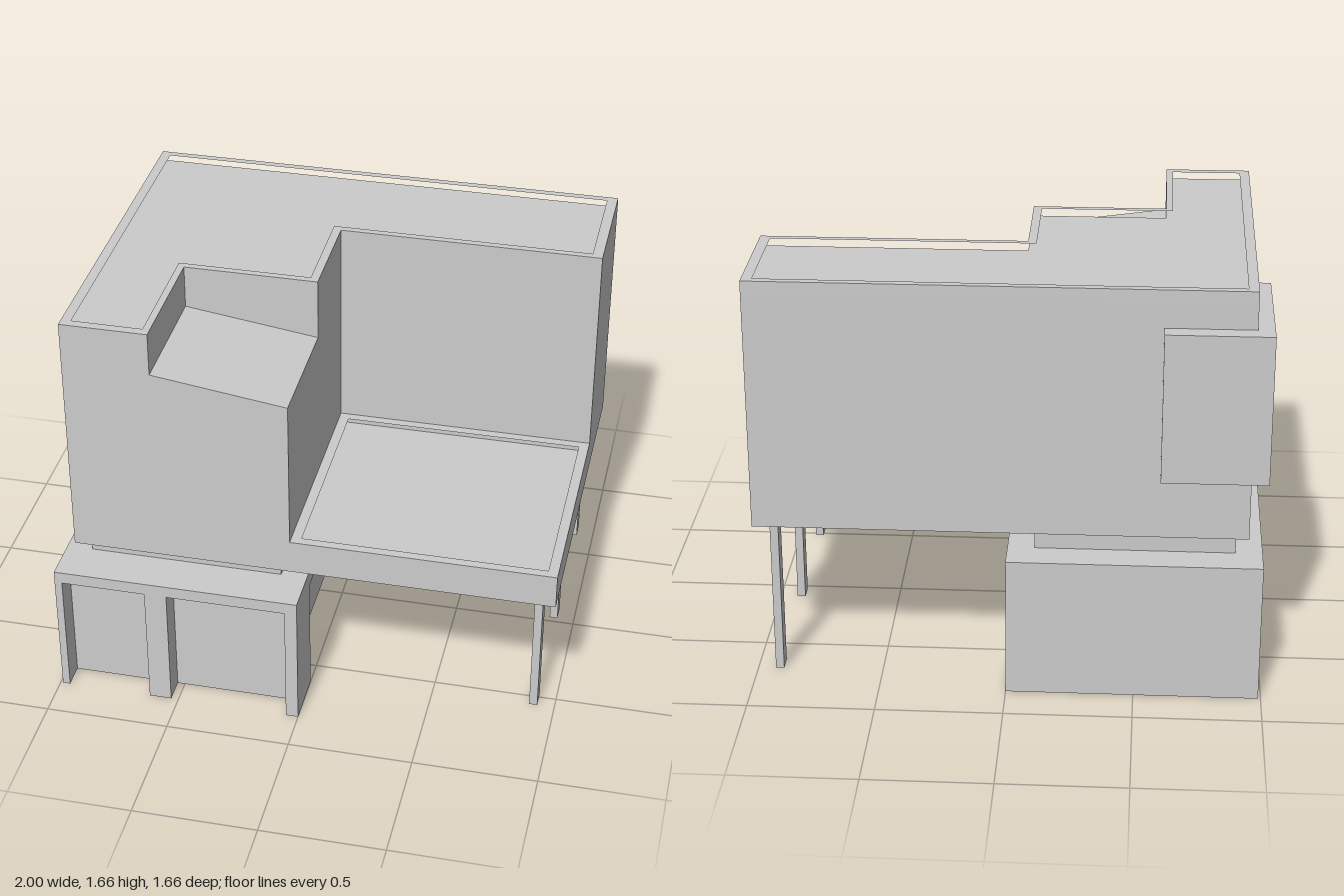
import * as THREE from 'three';

const solid = new THREE.MeshStandardMaterial({ color: 0xcccccc, flatShading: true });
const thin = new THREE.MeshStandardMaterial({ color: 0xcccccc, flatShading: true, side: THREE.DoubleSide });

// Closed outline from [x, y] pairs
const outline = (pts) => new THREE.Shape(pts.map(([x, y]) => new THREE.Vector2(x, y)));
const rect = (x0, x1, z0, z1) => [[x0, z0], [x1, z0], [x1, z1], [x0, z1]];

// Plan in [x, z] pairs, with an optional hole, as a flat shape
function planShape(pts, hole) {
  const flip = (list) => list.map(([x, z]) => [x, -z]);
  const shape = outline(flip(pts));
  if (hole) shape.holes.push(outline(flip(hole)));
  return shape;
}

// Plan raised from y0 to y1
function prism(pts, y0, y1, hole) {
  return new THREE.ExtrudeGeometry(planShape(pts, hole), { depth: y1 - y0, bevelEnabled: false })
    .rotateX(-Math.PI / 2).translate(0, y0, 0);
}

// Box between two corners; skip lists faces left out (0 +x, 1 -x, 2 +y, 3 -y, 4 +z, 5 -z)
function box(x0, x1, y0, y1, z0, z1, skip = []) {
  const geo = new THREE.BoxGeometry(x1 - x0, y1 - y0, z1 - z0);
  const index = Array.from(geo.index.array).filter((_, i) => !skip.includes(Math.floor(i / 6)));
  geo.setIndex(index);
  geo.clearGroups();
  return geo.translate((x0 + x1) / 2, (y0 + y1) / 2, (z0 + z1) / 2);
}

function add(parent, name, geometry, material = solid) {
  const mesh = new THREE.Mesh(geometry, material);
  mesh.name = name;
  parent.add(mesh);
  return mesh;
}

// Wall facing +z at z = 0 with door recesses [x0, x1] rising from the ground
function recessedWall(name, x0, x1, height, doors, doorHeight) {
  const wall = new THREE.Group();
  wall.name = name;
  const pts = [[x0, 0]];
  for (const [a, b] of doors) pts.push([a, 0], [a, doorHeight], [b, doorHeight], [b, 0]);
  pts.push([x1, 0], [x1, height], [x0, height]);
  add(wall, name + 'Face', new THREE.ShapeGeometry(outline(pts)), thin);
  for (const [a, b] of doors) {
    add(wall, name + 'Recess', box(a, b, 0, doorHeight, -0.1, 0, [3, 4]), thin);
  }
  return wall;
}

export function createModel() {
  const model = new THREE.Group();
  model.name = 'house';

  // Ground floor: thin shell, open underneath
  const ground = new THREE.Group();
  ground.name = 'groundFloor';
  model.add(ground);
  const neck = rect(-0.885, -0.105, -0.7, 0.65);
  add(ground, 'groundOuterWalls', box(-0.99, 0, 0, 0.57, -0.83, 0.83, [0, 2, 3, 4]), thin);
  add(ground, 'groundRoof', new THREE.ShapeGeometry(planShape(rect(-0.99, 0, -0.83, 0.83), neck))
    .rotateX(-Math.PI / 2).translate(0, 0.57, 0), thin);
  const front = recessedWall('frontWall', -0.99, 0, 0.57, [[-0.96, -0.62], [-0.53, -0.05]], 0.52);
  front.position.z = 0.83;
  const side = recessedWall('sideWall', -0.83, 0.83, 0.57, [[-0.605, 0.63]], 0.5);
  side.rotation.y = Math.PI / 2;
  ground.add(front, side);

  // Narrow neck between the floors
  add(model, 'neck', box(-0.885, -0.105, 0.57, 0.64, -0.7, 0.65, [2, 3]), thin);

  // Upper floor: slab, terrace rim, stepped wing and its parapet
  const upper = new THREE.Group();
  upper.name = 'upperFloor';
  model.add(upper);
  const wing = [[-0.935, -0.72], [0.997, -0.72], [0.997, -0.217], [-0.053, -0.217],
    [-0.053, 0.2], [-0.588, 0.2], [-0.588, 0.713], [-0.935, 0.713]];
  const roof = [[-0.895, -0.69], [0.955, -0.69], [0.955, -0.245], [-0.087, -0.245],
    [-0.087, 0.172], [-0.616, 0.172], [-0.616, 0.677], [-0.895, 0.677]];
  add(upper, 'floorSlab', prism(rect(-0.935, 0.997, -0.72, 0.713), 0.64, 0.74));
  add(upper, 'terraceRim', prism(rect(-0.053, 0.997, -0.217, 0.713), 0.74, 0.782,
    rect(-0.013, 0.957, -0.18, 0.677)));
  add(upper, 'wing', prism(wing, 0.74, 1.62));
  add(upper, 'parapet', prism(wing, 1.62, 1.66, roof));

  // Front bay with a sloping top
  const bay = outline([[-0.588, 0.74], [-0.053, 0.74], [-0.053, 1.408], [-0.588, 1.482]]);
  add(upper, 'slopedBay', new THREE.ExtrudeGeometry(bay, { depth: 0.513, bevelEnabled: false })
    .translate(0, 0, 0.2));

  // Projecting box around the rear corner
  add(upper, 'cornerBox', box(-1, -0.588, 0.903, 1.508, -0.788, -0.22));

  // Posts under the terrace side
  for (const z of [0.517, -0.06, -0.665]) {
    add(model, 'post', box(0.897, 0.93, 0, 0.64, z - 0.034, z + 0.034));
  }
  return model;
}
